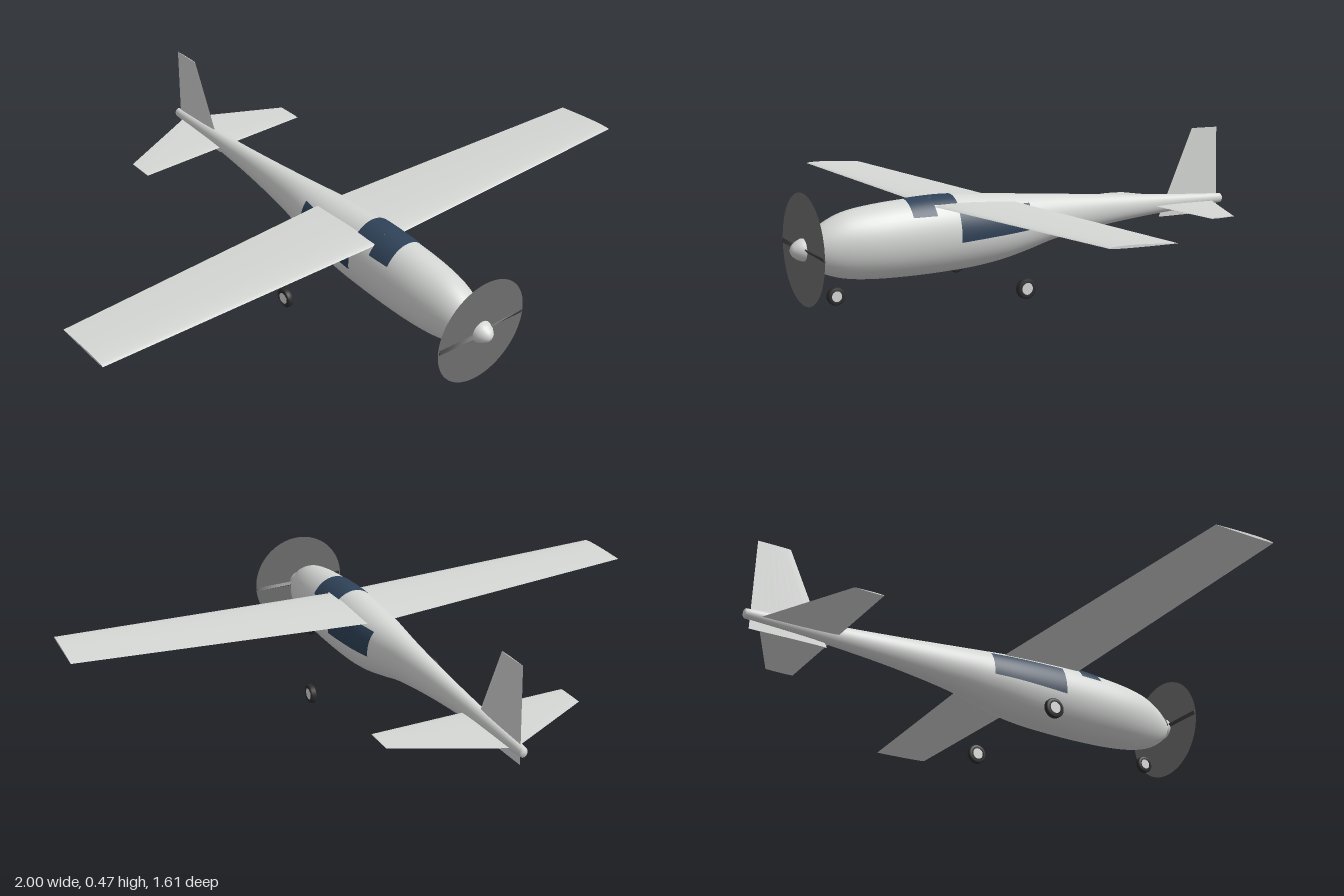
import * as THREE from 'three';
import { mergeVertices, toCreasedNormals } from 'three/addons/utils/BufferGeometryUtils.js';

const mat = (name, color, side = THREE.FrontSide) => {
  const m = new THREE.MeshStandardMaterial({ color, side });
  m.name = name;
  return m;
};

// fuselage stations: z, top y, bottom y, half width
const STATIONS = [
  [0.76, 0.205, 0.145, 0.028], [0.74, 0.228, 0.125, 0.04], [0.7, 0.256, 0.1, 0.06],
  [0.64, 0.282, 0.081, 0.077], [0.55, 0.297, 0.07, 0.09], [0.44, 0.306, 0.066, 0.095],
  [0.32, 0.311, 0.067, 0.096], [0.2, 0.306, 0.073, 0.094], [0.1, 0.299, 0.086, 0.088],
  [0, 0.291, 0.108, 0.073], [-0.1, 0.283, 0.133, 0.057], [-0.3, 0.266, 0.162, 0.038],
  [-0.5, 0.251, 0.181, 0.026], [-0.78, 0.234, 0.199, 0.015], [-0.8, 0.232, 0.201, 0.013],
];

// smooth interpolation through the stations
function station(z) {
  const S = STATIONS, n = S.length;
  let i = 0;
  while (i < n - 2 && z < S[i + 1][0]) i++;
  const slope = (k, c) => {
    const a = S[Math.max(k - 1, 0)], b = S[Math.min(k + 1, n - 1)];
    return (b[c] - a[c]) / (b[0] - a[0]);
  };
  const d = S[i + 1][0] - S[i][0], t = (z - S[i][0]) / d;
  const [top, bottom, w] = [1, 2, 3].map((c) =>
    S[i][c] * (2 * t ** 3 - 3 * t * t + 1) + S[i + 1][c] * (3 * t * t - 2 * t ** 3)
    + d * slope(i, c) * (t ** 3 - 2 * t * t + t) + d * slope(i + 1, c) * (t ** 3 - t * t));
  return { cy: (top + bottom) / 2, h: (top - bottom) / 2, w };
}

// angle from the top of the fuselage at which its side has height y
const angleAt = (z, y) => {
  const { cy, h } = station(z);
  return Math.acos(THREE.MathUtils.clamp((y - cy) / h, -1, 1));
};

// part of the fuselage skin between two z values and two angle limits
function skin(z0, z1, rows, cols, range, lift = 0, capped = false) {
  const pos = [], index = [];
  const row = (z, scale) => {
    const { cy, h, w } = station(z), [a, b] = range(z);
    for (let j = 0; j <= cols; j++) {
      const t = a + (b - a) * j / cols;
      pos.push((w * scale + lift) * Math.sin(t), cy + (h * scale + lift) * Math.cos(t), z);
    }
  };
  if (capped) row(z0, 0.001);
  for (let i = 0; i <= rows; i++) row(z0 + (z1 - z0) * i / rows, 1);
  if (capped) { row(z1 - 0.004, 0.7); row(z1 - 0.005, 0.001); }
  const total = pos.length / 3 / (cols + 1);
  for (let i = 0; i < total - 1; i++) for (let j = 0; j < cols; j++) {
    const p = i * (cols + 1) + j, q = p + cols + 1;
    index.push(p, p + 1, q, p + 1, q + 1, q);
  }
  let g = new THREE.BufferGeometry();
  g.setAttribute('position', new THREE.Float32BufferAttribute(pos, 3));
  g.setIndex(index);
  g = mergeVertices(g, 1e-5);
  g.computeVertexNormals();
  return g;
}

// closed airfoil outline: [chord fraction, height], upper side first
function airfoil(upper, lower, n = 12) {
  const f = (u) => 2.6 * (0.2969 * Math.sqrt(u) - 0.126 * u - 0.3516 * u * u + 0.2843 * u ** 3 - 0.1036 * u ** 4) * 1.28;
  const at = (k) => (1 - Math.cos(Math.PI * k / n)) / 2;
  const out = [];
  for (let k = 0; k <= n; k++) out.push([at(k), upper * f(at(k))]);
  for (let k = n - 1; k > 0; k--) out.push([at(k), -lower * f(at(k))]);
  return out;
}

// surface through a row of equal rings, closed at both ends
function loft(rings) {
  const n = rings[0].length, last = (rings.length - 1) * n, index = [];
  for (let i = 0; i < rings.length - 1; i++) for (let j = 0; j < n; j++) {
    const a = i * n + j, b = i * n + (j + 1) % n;
    index.push(a, a + n, b, b, a + n, b + n);
  }
  for (let j = 1; j < n - 1; j++) index.push(0, j, j + 1, last, last + j + 1, last + j);
  const g = new THREE.BufferGeometry();
  g.setAttribute('position', new THREE.Float32BufferAttribute(rings.flat(2), 3));
  g.setIndex(index);
  return toCreasedNormals(g, 0.7);
}

export function createModel() {
  const model = new THREE.Group();
  const paint = mat('light grey paint', 0xd6d8d6);
  const glass = mat('dark blue glass', 0x2f4258, THREE.DoubleSide);
  const discGrey = mat('propeller disc grey', 0x707070, THREE.DoubleSide);
  const blade = mat('blade dark grey', 0x404040);
  const rubber = mat('tyre black', 0x2c2c2c);
  const add = (name, geometry, material, parent = model) => {
    const m = new THREE.Mesh(geometry, material);
    m.name = name;
    parent.add(m);
    return m;
  };

  // fuselage and glazing
  add('fuselage', skin(0.76, -0.8, 78, 40, () => [-Math.PI, Math.PI], 0, true), paint);
  add('windshield', skin(0.44, 0.36, 6, 24, (z) => [-angleAt(z, 0.257), angleAt(z, 0.257)], 0.002), glass);
  add('roofWindow', skin(0.36, 0.28, 6, 16, (z) => [-angleAt(z, 0.287), angleAt(z, 0.287)], 0.002), glass);
  for (const s of [1, -1]) {
    const range = (z) => {
      const low = angleAt(z, 0.187 - (z - 0.02) * 0.06), high = angleAt(z, 0.268);
      return s > 0 ? [high, low] : [-low, -high];
    };
    add(s > 0 ? 'leftSideWindow' : 'rightSideWindow', skin(0.285, 0.02, 16, 12, range, 0.002), glass);
  }

  // main wing: straight leading edge, tapered trailing edge, slight dihedral
  const wingFoil = airfoil(0.022, 0.008);
  add('wing', loft([-1, 0, 1].map((x) => {
    const a = Math.abs(x), chord = 0.29 - 0.08 * a, y = 0.279 + 0.025 * a, k = 1 - 0.25 * a;
    return wingFoil.map(([u, v]) => [x, y + v * k + 0.006 * (0.5 - u), 0.36 - u * chord]);
  })), paint);

  // tailplane
  const tailFoil = airfoil(0.007, 0.007);
  add('tailplane', loft([-0.32, 0, 0.32].map((x) => {
    const a = Math.abs(x) / 0.32, chord = 0.255 - 0.16 * a;
    return tailFoil.map(([u, v]) => [x, 0.211 + v * (1 - 0.35 * a), -0.505 - u * chord]);
  })), paint);

  // fin: lower y, leading z, trailing z, thickness scale
  add('fin', loft([[0.17, -0.533, -0.785, 1.3], [0.47, -0.67, -0.778, 0.6]].map(([y, z0, z1, k]) =>
    tailFoil.map(([u, v]) => [-v * k, y, z0 + u * (z1 - z0)]))), paint);

  // propeller
  const prop = new THREE.Group();
  prop.name = 'propeller';
  prop.position.set(0, 0.18, 0.765);
  model.add(prop);
  add('propellerDisc', new THREE.CircleGeometry(0.17, 64), discGrey, prop);
  for (const s of [1, -1]) {
    const g = new THREE.BoxGeometry(0.15, 0.02, 0.004, 6, 1, 1);
    const p = g.attributes.position;
    for (let i = 0; i < p.count; i++) {
      const r = p.getX(i) + 0.09, t = 0.9 - r * 3.5, c = p.getY(i) * (1.1 - r * 2), d = p.getZ(i);
      p.setXYZ(i, r, c * Math.cos(t) - d * Math.sin(t), c * Math.sin(t) + d * Math.cos(t));
    }
    g.computeVertexNormals();
    add('propellerBlade', g, blade, prop).rotation.z = s > 0 ? -0.03 : Math.PI - 0.03;
  }
  const cone = [[0.036, -0.012], [0.034, 0.006], [0.028, 0.02], [0.018, 0.033], [0.008, 0.039], [0, 0.04]];
  const spinner = new THREE.LatheGeometry(cone.map(([r, y]) => new THREE.Vector2(r, y)), 32);
  add('spinner', spinner.rotateX(Math.PI / 2), paint, prop);

  // wheels: tyre with a pale hub
  const wheels = [['noseWheel', 0, 0.665, 0.028], ['leftMainWheel', 0.23, 0.137, 0.032], ['rightMainWheel', -0.23, 0.137, 0.032]];
  for (const [name, x, z, r] of wheels) {
    const wheel = new THREE.Group();
    wheel.name = name;
    wheel.position.set(x, x ? 0.037 : 0.029, z);
    model.add(wheel);
    const tread = [[0.55, -0.009], [0.85, -0.01], [1, -0.006], [1, 0.006], [0.85, 0.01], [0.55, 0.009], [0.55, -0.009]];
    const tyre = new THREE.LatheGeometry(tread.map(([k, y]) => new THREE.Vector2(k * r, y)), 32);
    add('tyre', tyre.rotateZ(Math.PI / 2), rubber, wheel);
    add('hub', new THREE.CylinderGeometry(r * 0.58, r * 0.58, 0.0185, 24).rotateZ(Math.PI / 2), paint, wheel);
  }
  return model;
}
